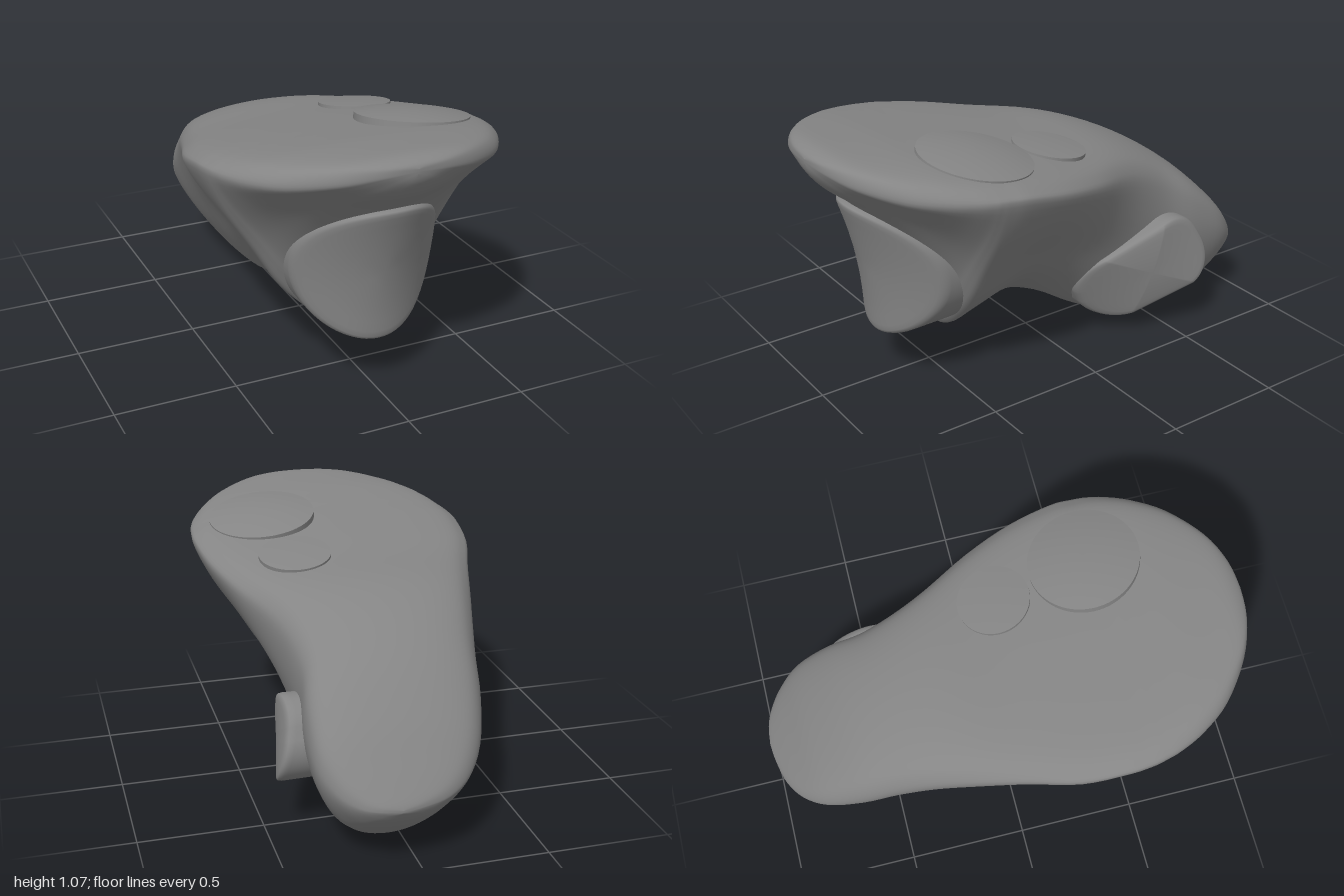
import * as THREE from 'three';
import { mergeVertices } from 'three/addons/utils/BufferGeometryUtils.js';

const material = new THREE.MeshStandardMaterial({ color: 0x858585, side: THREE.DoubleSide });

function addMesh(group, name, geometry) {
  const mesh = new THREE.Mesh(geometry, material);
  mesh.name = name;
  group.add(mesh);
  return mesh;
}

// Join closed rings of points into a smooth skin
function skin(rings) {
  const n = rings[0].length, pos = [], index = [];
  rings.forEach(r => r.forEach(p => pos.push(p.x, p.y, p.z)));
  for (let i = 0; i < rings.length - 1; i++) {
    for (let j = 0; j < n; j++) {
      const k = (j + 1) % n;
      const a = i * n + j, b = (i + 1) * n + j, c = (i + 1) * n + k, d = i * n + k;
      index.push(a, b, c, a, c, d);
    }
  }
  const g = new THREE.BufferGeometry();
  g.setAttribute('position', new THREE.Float32BufferAttribute(pos, 3));
  g.setIndex(index);
  const merged = mergeVertices(g, 1e-5);
  merged.computeVertexNormals();
  return merged;
}

// Half cross-sections, bottom to top: wedge for the head, round for the grip
const WEDGE = [[0, -1], [.18, -.96], [.36, -.84], [.52, -.69], [.68, -.48], [.88, -.22], [1, 0], [.96, .45], [.82, .76], [.48, .94], [0, 1]];
const ROUND = [[0, -1], [.3, -.95], [.55, -.81], [.72, -.63], [.86, -.42], [.96, -.2], [1, 0], [.94, .45], [.78, .74], [.45, .93], [0, 1]];

// Stations front to back: z, top, rim height, bottom, left edge x, right edge x
const STATIONS = [
  [1, 1.03, 1.02, 1.01, 0, 0],
  [.985, 1.05, 1.01, .965, -.135, .135],
  [.93, 1.065, .985, .895, -.28, .28],
  [.82, 1.058, .955, .8, -.428, .428],
  [.7, 1.046, .937, .65, -.517, .517],
  [.6, 1.03, .925, .49, -.563, .563],
  [.54, 1.02, .918, .36, -.58, .58],
  [.51, 1.015, .915, .26, -.587, .585],
  [.47, 1.008, .91, .18, -.593, .589],
  [.38, .993, .9, .205, -.597, .592],
  [.2, .962, .86, .255, -.58, .565],
  [0, .927, .81, .19, -.515, .5],
  [-.2, .898, .75, .07, -.455, .41],
  [-.35, .855, .69, .02, -.41, .362],
  [-.5, .785, .6, 0, -.37, .345],
  [-.65, .682, .5, .017, -.338, .365],
  [-.8, .535, .395, .067, -.283, .36],
  [-.9, .41, .32, .14, -.205, .308],
  [-.96, .33, .28, .2, -.11, .24],
  [-.99, .287, .265, .24, 0, .17],
  [-1, .265, .26, .255, .085, .085],
];

// Smooth interpolation of one station column
function column(c, t) {
  const n = STATIONS.length - 1, i = Math.min(Math.floor(t), n - 1), f = t - i;
  const v = k => STATIONS[Math.max(0, Math.min(n, k))][c];
  const p0 = v(i - 1), p1 = v(i), p2 = v(i + 1), p3 = v(i + 2);
  return p1 + .5 * f * (p2 - p0 + f * (2 * p0 - 5 * p1 + 4 * p2 - p3 + f * (3 * (p1 - p2) + p3 - p0)));
}

function bodyGeometry() {
  const rings = [], steps = (STATIONS.length - 1) * 4;
  for (let i = 0; i <= steps; i++) {
    const [z, top, rim, bottom, left, right] = STATIONS[0].map((_, c) => column(c, i / 4));
    const mid = (left + right) / 2, half = (right - left) / 2;
    // Towards the back the section gets rounder and its keel drifts sideways
    const round = THREE.MathUtils.smoothstep(-z, -.2, .65), keel = .085 * round;
    const at = (k, side) => {
      const px = THREE.MathUtils.lerp(WEDGE[k][0], ROUND[k][0], round);
      const py = THREE.MathUtils.lerp(WEDGE[k][1], ROUND[k][1], round);
      const y = rim + py * (py > 0 ? top - rim : rim - bottom);
      return new THREE.Vector3(mid + side * half * px + (keel - mid) * Math.max(0, -py), y, z);
    };
    const pts = [];
    for (let k = 0; k <= 10; k++) pts.push(at(k, -1));
    for (let k = 9; k >= 1; k--) pts.push(at(k, 1));
    const curve = new THREE.CatmullRomCurve3(pts, true, 'catmullrom', .5);
    rings.push(Array.from({ length: 80 }, (_, j) => curve.getPoint(j / 80)));
  }
  return skin(rings);
}

// A raised pad: curved face, rolled rim and a skirt sinking into the body
function padGeometry(outline, centre, face, back, place) {
  const rows = [[0, 0], [.2, 0], [.4, 0], [.6, 0], [.75, 0], [.88, 0], [.95, .002], [.985, .008], [1, .022], [1, .035]];
  const ring = (scale, depth) => outline.map(([u, v]) => {
    const pu = centre[0] + u * scale, pv = centre[1] + v * scale;
    return place(pu, pv, depth(pu, pv));
  });
  const rings = rows.map(([s, drop]) => ring(s, (u, v) => face(u, v) - drop));
  rings.push(ring(.99, back));
  return skin(rings);
}

// Domed disc with a short wall
function discGeometry(radius, wall, dome) {
  const pts = [new THREE.Vector2(radius, -.04), new THREE.Vector2(radius, wall), new THREE.Vector2(radius, wall)];
  for (let i = 1; i <= 8; i++) {
    const r = 1 - i / 8;
    pts.push(new THREE.Vector2(radius * r, wall + (dome - wall) * (1 - r * r)));
  }
  return new THREE.LatheGeometry(pts, 64);
}

export function createModel() {
  const group = new THREE.Group();
  group.name = 'handController';

  addMesh(group, 'body', bodyGeometry());

  // Front trigger, wrapping back at its sides
  const power = (c, e) => Math.sign(c) * Math.abs(c) ** e;
  const triggerOutline = Array.from({ length: 72 }, (_, i) => {
    const t = i / 72 * Math.PI * 2, s = Math.sin(t), e = s > 0 ? .9 : .97;
    return [.308 * power(Math.cos(t), e), (s > 0 ? .27 : .315) * power(s, e)];
  });
  addMesh(group, 'trigger', padGeometry(triggerOutline, [0, .54],
    (x, y) => .755 + .32 * Math.max(0, y - .23) ** 2 - 1.9 * x * x,
    () => .46,
    (x, y, z) => new THREE.Vector3(x, y, z)));

  // Side grip button: a tilted rounded rectangle with a curved, twisted face
  const tilt = .47;
  const gripOutline = Array.from({ length: 72 }, (_, i) => {
    const t = (i + .5) / 72 * Math.PI * 2, c = Math.cos(t), s = Math.sin(t);
    const u = .13 * Math.sign(c) + .15 * c, v = .02 * Math.sign(s) + .15 * s;
    return [u * Math.cos(tilt) - v * Math.sin(tilt), u * Math.sin(tilt) + v * Math.cos(tilt)];
  });
  const gripFace = (u, v) => {
    const a = u - .37, b = v - .31;
    return .41 + .34 * a + .1 * b - .64 * a * a - .3 * b * b - 1.2 * a * b;
  };
  addMesh(group, 'gripButton', padGeometry(gripOutline, [.37, .312], gripFace,
    (u, v) => gripFace(u, v) - .15,
    (u, v, d) => new THREE.Vector3(d, v, -u)));

  // Thumb discs lying on the sloping top
  const up = new THREE.Vector3(0, 1, 0);
  const discs = [
    ['thumbPad', .228, .022, .045, [.283, .984, .438], [.11, 1, -.16]],
    ['thumbButton', .15, .01, .016, [.228, .929, .05], [.06, 1, -.18]],
  ];
  for (const [name, radius, wall, dome, at, normal] of discs) {
    const disc = addMesh(group, name, discGeometry(radius, wall, dome));
    disc.position.set(...at);
    disc.quaternion.setFromUnitVectors(up, new THREE.Vector3(...normal).normalize());
  }
  return group;
}
